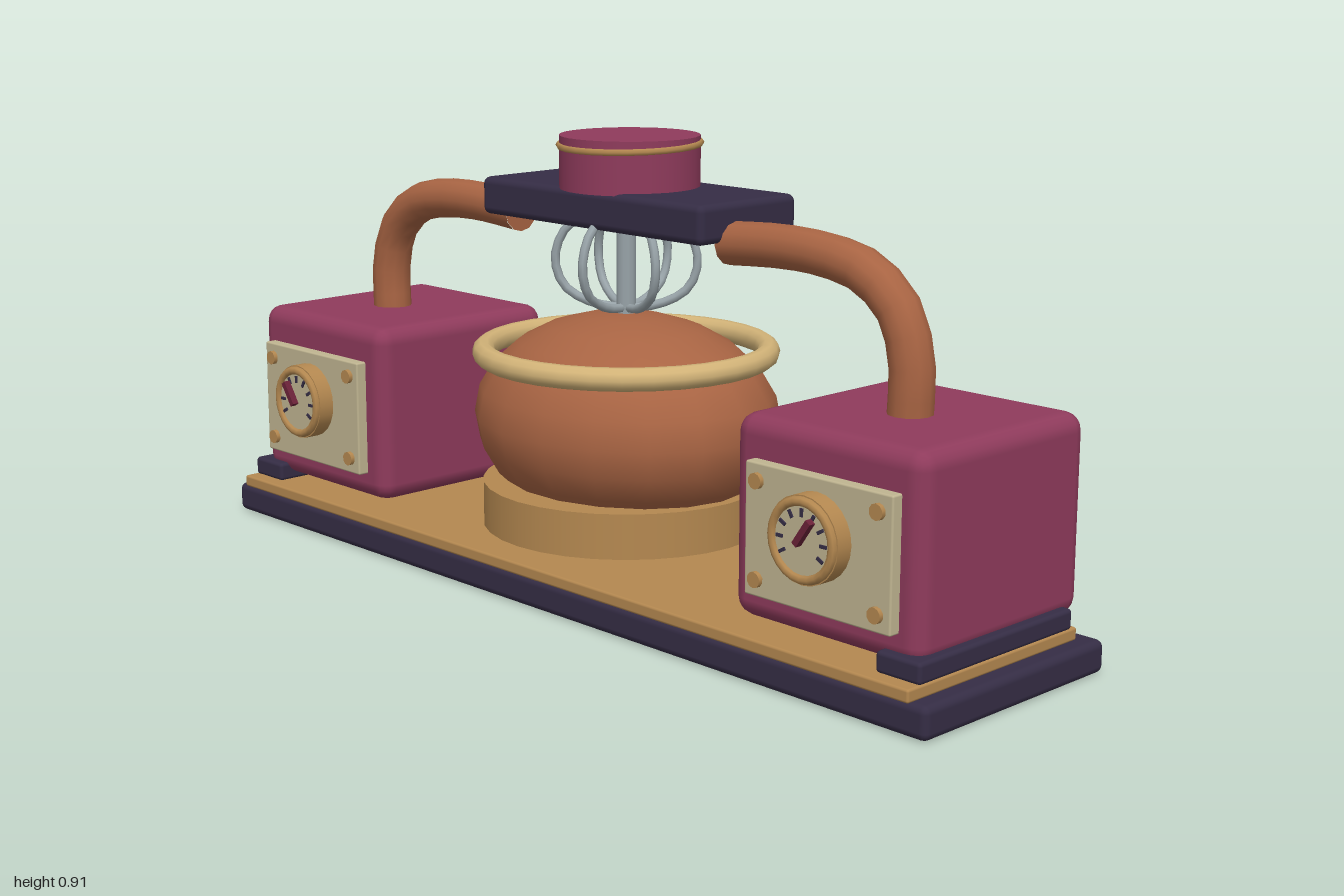
import * as THREE from 'three';
import { RoundedBoxGeometry } from 'three/addons/geometries/RoundedBoxGeometry.js';

const mat = (name, color) => {
  const m = new THREE.MeshStandardMaterial({ color });
  m.name = name;
  return m;
};

export function createModel() {
  const plum = mat('plum enamel', 0x8f3b5c);
  const dark = mat('dark violet', 0x352d45);
  const wood = mat('golden wood', 0xb48850);
  const copper = mat('copper', 0xa86443);
  const brass = mat('pale brass', 0xd2b378);
  const cream = mat('cream panel', 0xc0b591);
  const steel = mat('steel', 0x98a3a8);
  const needleMat = mat('needle maroon', 0x6b2238);

  const root = new THREE.Group();
  root.name = 'twinMixer';

  const add = (parent, name, geo, material, x = 0, y = 0, z = 0) => {
    const m = new THREE.Mesh(geo, material);
    m.name = name;
    m.position.set(x, y, z);
    parent.add(m);
    return m;
  };
  // Rounded box given by its extents on each axis
  const block = (parent, name, [x0, x1], [y0, y1], [z0, z1], r, material) =>
    add(parent, name, new RoundedBoxGeometry(x1 - x0, y1 - y0, z1 - z0, 2, r), material,
      (x0 + x1) / 2, (y0 + y1) / 2, (z0 + z1) / 2);
  // Cylinder lying along z between two depths
  const disc = (parent, name, r, z0, z1, material, x = 0, y = 0, sides = 24) =>
    add(parent, name, new THREE.CylinderGeometry(r, r, z1 - z0, sides).rotateX(Math.PI / 2),
      material, x, y, (z0 + z1) / 2);

  // Stand
  block(root, 'base', [-1, 1], [0, 0.063], [-0.24, 0.27], 0.015, dark);
  block(root, 'deck', [-0.965, 0.965], [0.062, 0.087], [-0.2, 0.275], 0.005, wood);

  // Motor housings with control panel, dial and arm, one on each side
  for (const s of [-1, 1]) {
    const side = new THREE.Group();
    side.name = s > 0 ? 'leftStation' : 'rightStation';
    root.add(side);
    const span = (a, b) => (s > 0 ? [a, b] : [-b, -a]);

    block(side, 'footRail', span(0.867, 0.965), [0.085, 0.125], [-0.185, 0.245], 0.008, dark);
    block(side, 'housing', span(0.512, 0.948), [0.1, 0.477], [-0.235, 0.227], 0.036, plum);
    block(side, 'controlPanel', span(0.567, 0.903), [0.157, 0.402], [0.222, 0.25], 0.004, cream);

    const cx = s * 0.735, cy = 0.297;
    for (const dx of [-1, 1]) for (const dy of [-1, 1])
      disc(side, 'screw', 0.015, 0.245, 0.259, wood, cx + dx * 0.138, 0.28 + dy * 0.09, 10);

    const dial = new THREE.Group();
    dial.name = 'dial';
    dial.position.set(cx, cy, 0);
    side.add(dial);
    disc(dial, 'dialBody', 0.08, 0.245, 0.284, wood);
    disc(dial, 'dialFace', 0.064, 0.282, 0.287, cream);
    add(dial, 'dialRim', new THREE.TorusGeometry(0.069, 0.009, 8, 24), wood, 0, 0, 0.285);
    for (let i = 0; i < 9; i++) {
      const a = (-120 + i * 30) * Math.PI / 180;
      const tick = add(dial, 'tick', new THREE.BoxGeometry(0.006, 0.015, 0.004), dark,
        Math.sin(a) * 0.05, Math.cos(a) * 0.05, 0.288);
      tick.rotation.z = -a;
    }
    const turn = s * 0.6;
    const needle = add(dial, 'needle', new THREE.BoxGeometry(0.012, 0.055, 0.014), needleMat,
      Math.sin(turn) * 0.022, Math.cos(turn) * 0.022, 0.297);
    needle.rotation.z = -turn;

    // Bent arm
    const path = new THREE.CatmullRomCurve3(
      [[0.742, 0.45], [0.744, 0.57], [0.712, 0.66], [0.635, 0.718], [0.53, 0.738], [0.42, 0.74], [0.3, 0.732]]
        .map(([x, y]) => new THREE.Vector3(s * x, y, 0.015)));
    add(side, 'arm', new THREE.TubeGeometry(path, 12, 0.042, 12), copper);
    add(side, 'armEnd', new THREE.CircleGeometry(0.042, 12).rotateY(-s * Math.PI / 2), copper,
      s * 0.3, 0.732, 0.015);
  }

  // Mixing bowl
  const bowl = new THREE.Group();
  bowl.name = 'bowl';
  root.add(bowl);
  add(bowl, 'bowlBase', new THREE.CylinderGeometry(0.29, 0.29, 0.09, 32), wood, 0, 0.174, 0);
  add(bowl, 'bowlBody', new THREE.SphereGeometry(1, 18, 12).scale(0.335, 0.215, 0.285), copper, 0, 0.343, 0);
  add(bowl, 'bowlRim', new THREE.TorusGeometry(0.286, 0.023, 10, 32).rotateX(Math.PI / 2), brass, 0, 0.481, 0);

  // Mixer head with knob
  block(root, 'head', [-0.315, 0.315], [0.735, 0.812], [-0.155, 0.11], 0.015, dark);
  add(root, 'knob', new THREE.CylinderGeometry(0.14, 0.14, 0.105, 32), plum, 0, 0.86, -0.01);
  const band = add(root, 'knobBand',
    new THREE.TorusGeometry(0.14, 0.007, 6, 24).rotateX(Math.PI / 2), wood, 0, 0.895, -0.01);
  band.rotation.x = 0.03;

  // Whisk: shaft and three crossed wire loops
  const whisk = new THREE.Group();
  whisk.name = 'whisk';
  root.add(whisk);
  add(whisk, 'shaft', new THREE.CylinderGeometry(0.02, 0.02, 0.185, 12), steel, 0, 0.65, 0);
  const half = [[0.085, 0.755], [0.125, 0.72], [0.143, 0.665], [0.125, 0.61], [0.07, 0.577]];
  const outline = [...half, [0, 0.568], ...half.map(([r, y]) => [-r, y]).reverse()];
  for (const deg of [20, 80, 140]) {
    const a = deg * Math.PI / 180;
    const curve = new THREE.CatmullRomCurve3(
      outline.map(([r, y]) => new THREE.Vector3(r * Math.cos(a), y, r * Math.sin(a))));
    add(whisk, 'wireLoop', new THREE.TubeGeometry(curve, 24, 0.009, 8), steel);
  }

  return root;
}
